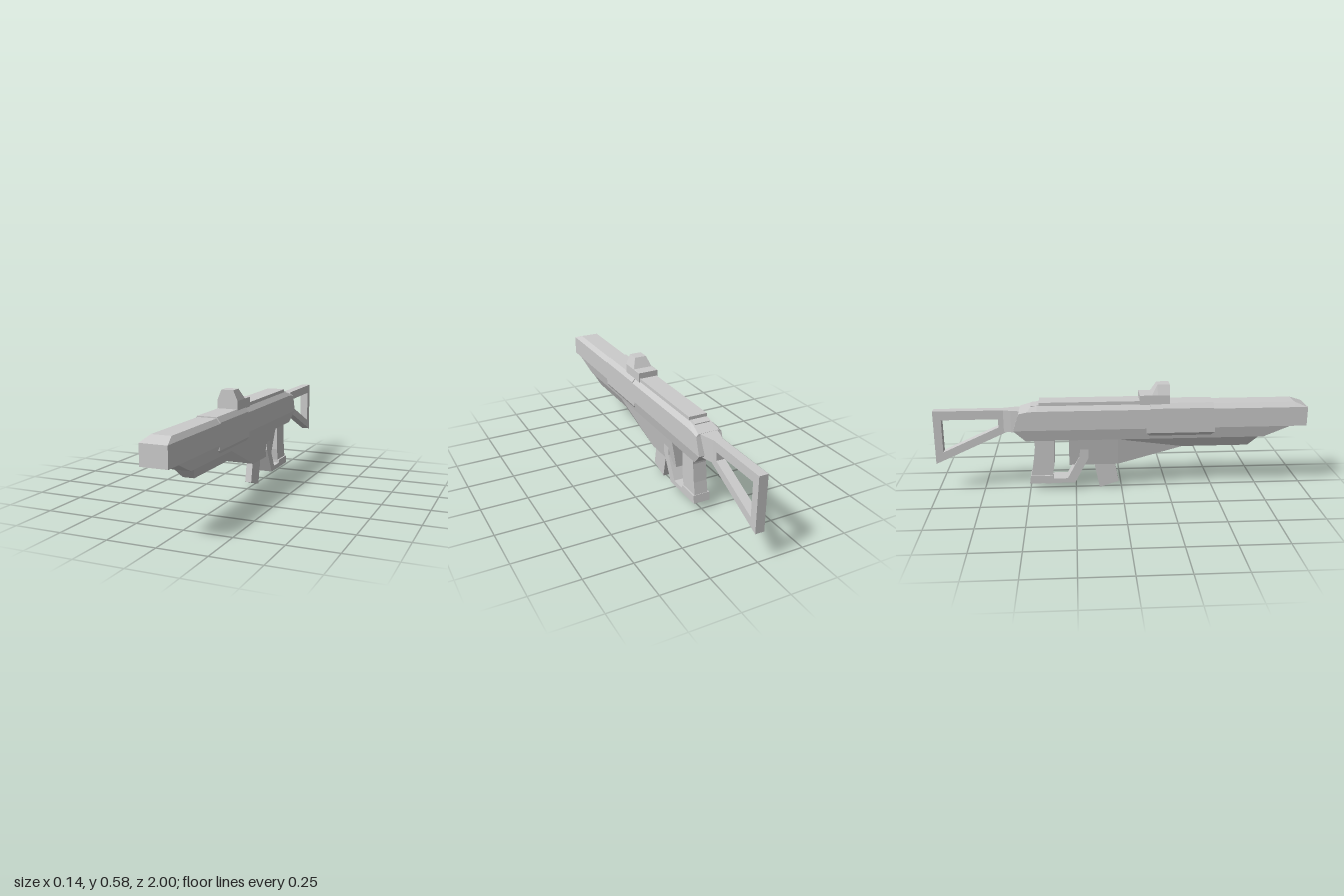
import * as THREE from 'three';

const material = new THREE.MeshStandardMaterial({ color: 0xcccccc, flatShading: true });

// Mirrored loft: stations run front to back, each lists right-half points [x, y, z] from top to bottom.
function loft(name, stations) {
  const pos = [];
  const left = (p) => [-p[0], p[1], p[2]];
  const quad = (a, b, c, d) => pos.push(...a, ...b, ...c, ...a, ...c, ...d);
  const rings = stations.map((s) => [...s, ...s.map(left).reverse()]);
  for (let i = 0; i < rings.length - 1; i++) {
    const f = rings[i], r = rings[i + 1], n = f.length;
    for (let j = 0; j < n; j++) {
      const k = (j + 1) % n;
      quad(f[j], f[k], r[k], r[j]);
    }
  }
  const first = stations[0], last = stations[stations.length - 1];
  for (let j = 0; j < first.length - 1; j++) {
    quad(left(first[j]), left(first[j + 1]), first[j + 1], first[j]);
    quad(last[j], last[j + 1], left(last[j + 1]), left(last[j]));
  }
  const geo = new THREE.BufferGeometry();
  geo.setAttribute('position', new THREE.Float32BufferAttribute(pos, 3));
  geo.computeVertexNormals();
  const mesh = new THREE.Mesh(geo, material);
  mesh.name = name;
  return mesh;
}

// Station whose points all lie at one z.
const at = (z, ...pts) => pts.map(([x, y]) => [x, y, z]);

// Side profile of [z, y] points, extruded across x and centred.
function plate(name, width, outline, hole) {
  const toPoints = (list) => list.map(([z, y]) => new THREE.Vector2(z, y));
  const shape = new THREE.Shape(toPoints(outline));
  if (hole) shape.holes.push(new THREE.Path(toPoints(hole)));
  const geo = new THREE.ExtrudeGeometry(shape, { depth: width, bevelEnabled: false });
  geo.translate(0, 0, -width / 2);
  geo.rotateY(-Math.PI / 2);
  const mesh = new THREE.Mesh(geo, material);
  mesh.name = name;
  return mesh;
}

export function createModel() {
  const model = new THREE.Group();
  model.name = 'rifle';

  // Upper shell with bevelled nose and slanted rear
  const top = [0.05, 0.482], shoulder = [0.07, 0.457], low = [0.07, 0.352], keel = [0.056, 0.29];
  model.add(loft('body', [
    at(1, [0.07, 0.456], [0.07, 0.455], low, low),
    at(0.93, top, shoulder, low, low),
    at(0.91, top, shoulder, low, low),
    at(0.77, top, shoulder, low, keel),
    at(-0.45, top, shoulder, low, keel),
    [[0.05, 0.475, -0.485], [0.07, 0.455, -0.5], [0.07, 0.352, -0.5], [0.056, 0.29, -0.5]],
    [[0.058, 0.456, -0.545], [0.07, 0.445, -0.547], [0.07, 0.352, -0.578], [0.056, 0.29, -0.515]],
  ]));

  // Tapered lower shell
  model.add(loft('lowerBody', [
    at(0.74, keel, [0.055, 0.289]),
    at(0.69, keel, [0.03, 0.235]),
    at(0.33, keel, [0.03, 0.235]),
    at(-0.02, keel, [0.03, 0.14]),
    at(-0.285, keel, [0.03, 0.14]),
  ]));

  // Raised band over the shoulders and flared ledge below the sides
  model.add(loft('upperBand', [0.49, 0.15].map((z) =>
    at(z, [0.052, 0.488], [0.071, 0.462], [0.071, 0.455]))));
  model.add(loft('sideLedge', [[0.5, 0.48], [0.13, 0.15]].map(([z, zLow]) =>
    [[0.07, 0.353, z], [0.07, 0.326, z], [0.061, 0.309, zLow]])));

  // Top rail and the small step behind it
  model.add(plate('topRail', 0.1, [[0.1, 0.47], [0.1, 0.5], [-0.44, 0.5], [-0.44, 0.47]]));
  model.add(plate('railStep', 0.084, [[-0.43, 0.465], [-0.43, 0.484], [-0.485, 0.48], [-0.485, 0.465]]));

  // Sight: tall hood in front, low block behind
  model.add(loft('sight', [
    at(0.255, [0.033, 0.585], [0.056, 0.531], [0.056, 0.48]),
    at(0.19, [0.033, 0.585], [0.056, 0.531], [0.056, 0.48]),
    at(0.16, [0.052, 0.532], [0.056, 0.531], [0.056, 0.48]),
    at(0.095, [0.052, 0.532], [0.056, 0.531], [0.056, 0.48]),
  ]));

  // Magazine
  model.add(plate('magazine', 0.036, [
    [-0.03, 0.2], [-0.037, 0.145], [-0.015, 0.035], [-0.12, 0], [-0.15, 0.145], [-0.15, 0.2],
  ]));

  // Trigger guard, running under the hand to the base of the grip
  model.add(plate('triggerGuard', 0.092, [
    [-0.18, 0.235], [-0.18, 0.185], [-0.255, 0.042], [-0.502, 0.042], [-0.495, 0.085],
    [-0.375, 0.085], [-0.375, 0.068], [-0.295, 0.068], [-0.23, 0.19], [-0.225, 0.235],
  ]));

  // Grip
  model.add(plate('grip', 0.074, [
    [-0.362, 0.3], [-0.365, 0.15], [-0.38, 0.06], [-0.385, 0.036], [-0.41, 0.036],
    [-0.498, 0.055], [-0.48, 0.15], [-0.468, 0.25], [-0.472, 0.3],
  ]));

  // Stock neck and open frame
  model.add(loft('stockNeck', [
    at(-0.53, [0.05, 0.455], [0.05, 0.336]),
    at(-0.59, [0.036, 0.455], [0.036, 0.336]),
    at(-0.63, [0.024, 0.455], [0.024, 0.336]),
  ]));
  model.add(plate('stock', 0.048,
    [[-0.6, 0.455], [-1, 0.455], [-1, 0.16], [-0.61, 0.336], [-0.6, 0.336]],
    [[-0.658, 0.406], [-0.658, 0.36], [-0.958, 0.225], [-0.958, 0.406]]));

  return model;
}
